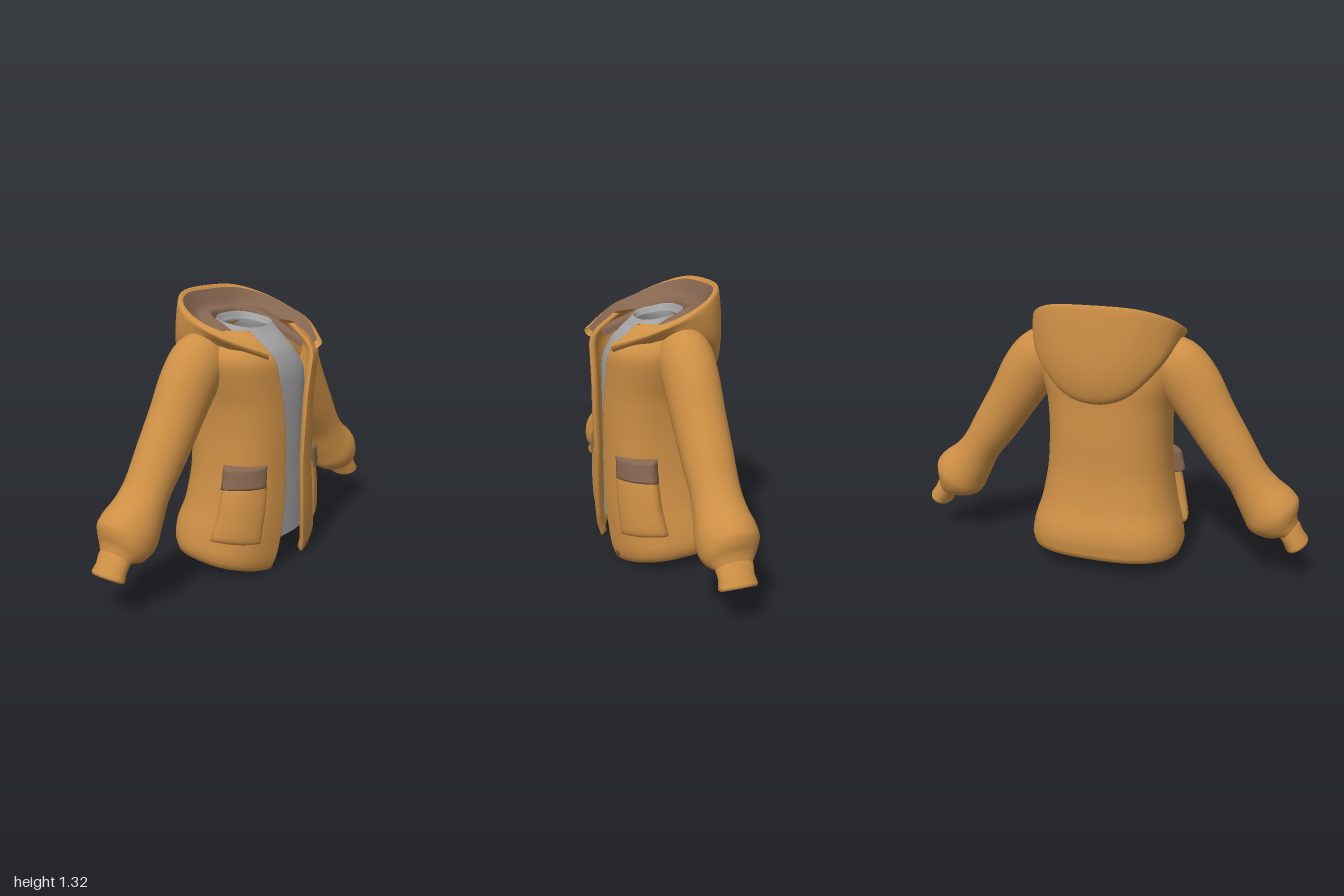
import * as THREE from 'three';
import { mergeVertices } from 'three/addons/utils/BufferGeometryUtils.js';

const mat = (name, color) => {
  const m = new THREE.MeshStandardMaterial({ color, side: THREE.DoubleSide });
  m.name = name;
  return m;
};

// Smooth surface through a grid of points: fn(u, v) -> [x, y, z], u and v from 0 to 1
function surface(nu, nv, fn) {
  const pos = [], idx = [];
  for (let j = 0; j <= nv; j++)
    for (let i = 0; i <= nu; i++) pos.push(...fn(i / nu, j / nv));
  for (let j = 0; j < nv; j++)
    for (let i = 0; i < nu; i++) {
      const a = j * (nu + 1) + i, b = a + 1, c = a + nu + 1, d = c + 1;
      idx.push(a, b, d, a, d, c);
    }
  let g = new THREE.BufferGeometry();
  g.setAttribute('position', new THREE.Float32BufferAttribute(pos, 3));
  g.setIndex(idx);
  g = mergeVertices(g, 1e-5);
  g.computeVertexNormals();
  return g;
}

// Catmull-Rom blend of table rows at a fractional row number
function blend(rows, t) {
  const n = rows.length - 1;
  const i = Math.min(n - 1, Math.max(0, Math.floor(t))), f = t - i;
  const p = [i - 1, i, i + 1, i + 2].map(k => rows[Math.min(n, Math.max(0, k))]);
  return p[1].map((b, k) => {
    const a = p[0][k], c = p[2][k], d = p[3][k];
    return b + 0.5 * f * (c - a + f * (2 * a - 5 * b + 4 * c - d + f * (3 * (b - c) + d - a)));
  });
}

// Table lookup by height, which is the first column
function atHeight(rows, y) {
  let i = 0;
  while (i < rows.length - 2 && y > rows[i + 1][0]) i++;
  return blend(rows, i + (y - rows[i][0]) / (rows[i + 1][0] - rows[i][0]));
}

// Rounded-square ring: angle 0 is the front
const P = 0.77;
const spow = v => Math.sign(v) * Math.abs(v) ** P;
const ringPoint = (a, w, zf, zb) =>
  [w * spow(Math.sin(a)), (zf + zb) / 2 + (zf - zb) / 2 * spow(Math.cos(a))];

// Jacket body: height, half width, front z, back z, half gap of the opening
const BODY = [
  [0, .37, .25, -.28, .13], [.06, .385, .265, -.285, .12], [.12, .38, .272, -.29, .105],
  [.22, .365, .28, -.28, .09], [.35, .335, .285, -.245, .078], [.5, .31, .285, -.222, .073],
  [.7, .3, .29, -.22, .08], [.85, .31, .29, -.215, .1], [.95, .335, .29, -.215, .125],
  [1.05, .35, .287, -.2, .15], [1.1, .33, .25, -.19, .165], [1.17, .24, .18, -.16, .17],
];
function bodyPoint(a, y, out) {
  const [, w, zf, zb] = atHeight(BODY, y);
  const [x, z] = ringPoint(a, w + out, zf + out, zb - out);
  const k = Math.min(1, Math.max(0, (z + .29) / .56));
  const hem = .1 - .045 * k - .055 * k ** 8;
  return [x, y + hem * Math.max(0, 1 - y / .3), z];
}

// Open-front shell: lining from neck to hem, then outside from hem to neck
function bodyGeometry() {
  const nv = 67;
  return surface(96, nv, (u, v) => {
    const k = Math.round(v * nv), inner = k <= 33;
    const y = 1.17 * (inner ? 33 - k : k - 34) / 33;
    const [, w, , , gap] = atHeight(BODY, y);
    const a0 = Math.asin((gap / w) ** (1 / P));
    const s = u - .8 * Math.sin(2 * Math.PI * u) / (2 * Math.PI);
    const edge = Math.sqrt(Math.min(1, Math.min(s, 1 - s) / .012));
    return bodyPoint(a0 + s * 2 * (Math.PI - a0), y, inner ? -.03 * edge : 0);
  });
}

// Raised patch on the body, used for pockets and flaps
function patch(side, a1, a2, y1, y2, height) {
  return surface(24, 20, (u, v) => {
    const e = Math.min(u, 1 - u, v, 1 - v);
    const o = height(u, v) * Math.sqrt(Math.min(1, e / .12)) - (e < 1e-6 ? .012 : 0);
    const [x, y, z] = bodyPoint(a1 + (a2 - a1) * u, y1 + (y2 - y1) * v, o);
    return [side * x, y, z];
  });
}

// Undershirt: height, half width, front z, back z
const SHIRT = [
  [.15, .33, .23, -.24], [.35, .295, .235, -.2], [.7, .262, .24, -.18], [.95, .27, .235, -.17],
  [1.08, .2, .2, -.155], [1.15, .165, .15, -.14], [1.2, .153, .105, -.135], [1.22, .145, .088, -.125],
];
function shirtPoint(a, y, out = 0) {
  const [, w, zf, zb] = atHeight(SHIRT, y);
  const [x, z] = ringPoint(a, w + out, zf + out, zb - out);
  const drop = .05 * Math.max(0, (y - 1) / .22) * (.5 + .5 * Math.cos(a));
  return [x, y - drop, z];
}

// Sleeve: centre x, y, z, radius across the arm, radius in z
const SLEEVE = [
  [.24, 1.07, -.02, .1, .1], [.33, 1.04, -.02, .135, .125], [.41, .95, -.02, .14, .125],
  [.5, .81, -.02, .125, .12], [.6, .66, -.02, .115, .115], [.69, .53, -.02, .102, .11],
  [.75, .445, -.02, .117, .12], [.8, .385, -.02, .136, .135], [.83, .345, -.02, .137, .135],
  [.86, .31, -.015, .108, .12], [.885, .285, -.015, .07, .095], [.895, .27, -.015, .05, .08],
];
function sleeveGeometry(side) {
  const n = SLEEVE.length - 1;
  return surface(32, 55, (u, v) => {
    const t = v * n, [x, y, z, r, rz] = blend(SLEEVE, t);
    const p = blend(SLEEVE, Math.max(0, t - .3)), q = blend(SLEEVE, Math.min(n, t + .3));
    const dx = q[0] - p[0], dy = q[1] - p[1], l = Math.hypot(dx, dy);
    const a = u * 2 * Math.PI, c = r * Math.cos(a);
    return [side * (x - dy / l * c), y + dx / l * c, z + rz * Math.sin(a)];
  });
}
function cuffGeometry(side) {
  const profile = [[.05, -.12], [.056, -.09], [.053, -.05], [.058, -.012], [.053, 0], [.043, 0],
    [.036, -.012], [.034, -.06], [0, -.06]].map(p => new THREE.Vector2(...p));
  const g = new THREE.LatheGeometry(profile, 28);
  g.scale(1, 1, 1.5);
  g.rotateZ(side * Math.atan2(-.51, -.86));
  g.translate(side * .95, .2, -.015);
  return g;
}

// Hood lines, each from the front corner round to the middle of the back
const HOOD = {
  base: [[.17, 1.05, .25], [.29, 1.1, .15], [.34, 1.13, 0], [.29, 1.05, -.12], [.15, .91, -.195], [0, .87, -.205]],
  low: [[.2, 1.06, .27], [.32, 1.13, .14], [.355, 1.16, 0], [.31, 1.09, -.17], [.17, .95, -.25], [0, .9, -.27]],
  mid: [[.21, 1.07, .28], [.33, 1.14, .14], [.36, 1.18, 0], [.325, 1.18, -.16], [.19, 1.1, -.265], [0, 1.06, -.295]],
  rim: [[.215, 1.09, .285], [.34, 1.16, .13], [.365, 1.21, 0], [.325, 1.27, -.14], [.2, 1.312, -.245], [0, 1.32, -.272]],
  lip: [[.195, 1.1, .27], [.315, 1.18, .12], [.34, 1.222, 0], [.302, 1.278, -.13], [.185, 1.317, -.222], [0, 1.322, -.248]],
};
const LINING = {
  lip: HOOD.lip,
  dip: [[.18, 1.08, .25], [.26, 1.13, .1], [.27, 1.17, 0], [.24, 1.22, -.11], [.13, 1.24, -.19], [0, 1.245, -.2]],
  roll: [[.165, 1.09, .22], [.18, 1.14, .1], [.18, 1.19, 0], [.16, 1.225, -.09], [.09, 1.235, -.145], [0, 1.235, -.15]],
  neck: [[.16, 1.06, .2], [.165, 1.1, .1], [.165, 1.15, 0], [.147, 1.18, -.08], [.087, 1.19, -.13], [0, 1.19, -.138]],
};
function hoodGeometry(lines) {
  const curves = Object.values(lines).map(half =>
    [...half, ...half.slice(0, -1).reverse().map(([x, y, z]) => [-x, y, z])]);
  return surface(60, 24, (u, v) =>
    blend(curves.map(c => blend(c, u * (c.length - 1))), v * (curves.length - 1)));
}

export function createModel() {
  const group = new THREE.Group();
  group.name = 'hoodedJacket';
  const cloth = mat('ochre cloth', 0xcd8f45);
  const brown = mat('brown lining', 0x866650);
  const grey = mat('grey shirt', 0xa3a3a3);
  const dark = mat('dark snap', 0x6b4a30);
  const add = (name, geometry, material) => {
    const m = new THREE.Mesh(geometry, material);
    m.name = name;
    group.add(m);
    return m;
  };

  add('jacketBody', bodyGeometry(), cloth);
  add('hood', hoodGeometry(HOOD), cloth);
  add('hoodLining', hoodGeometry(LINING), brown);

  // Shirt front and the full neck ring
  add('shirtFront', surface(48, 40, (u, v) => shirtPoint((u - .5) * 3.6, .15 + .95 * v)), grey);
  add('shirtNeck', surface(64, 12, (u, v) => shirtPoint(u * 2 * Math.PI, 1.1 + .12 * v)), grey);
  add('shirtNeckFold', surface(64, 4, (u, v) =>
    shirtPoint(u * 2 * Math.PI, 1.22 - .035 * v, -.01 * Math.sqrt(v) - .02 * v)), grey);

  for (const [side, label] of [[1, 'left'], [-1, 'right']]) {
    add(label + 'Sleeve', sleeveGeometry(side), cloth);
    add(label + 'Cuff', cuffGeometry(side), cloth);
    add(label + 'Pocket', patch(side, .5, 1.42, .16, .5,
      (u, v) => (.008 + .03 * u) * (.75 + .35 * Math.sin(Math.PI * (1 - v) ** .8))), cloth);
    add(label + 'PocketFlap', patch(side, .52, 1.42, .45, .565,
      (u, v) => (.012 + .04 * u) * (1.15 - .3 * v)), brown);
  }

  // Snap near the hem
  const snap = add('snap', new THREE.CylinderGeometry(.012, .012, .008, 16), dark);
  const [sx, sy, sz] = bodyPoint(Math.asin((.165 / .375) ** (1 / P)), .04, .002);
  snap.position.set(sx, sy, sz);
  snap.rotation.x = Math.PI / 2;
  return group;
}
